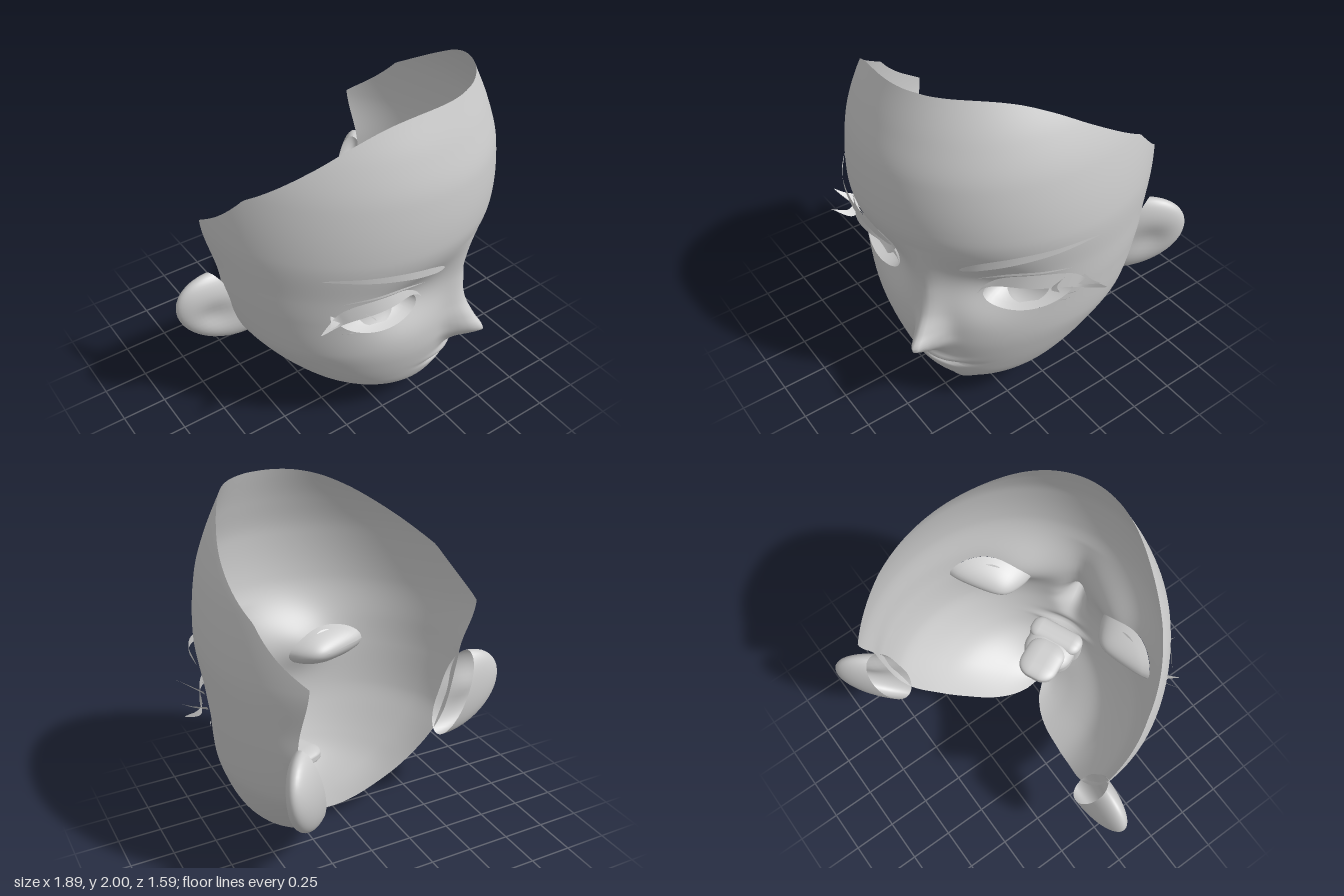
import * as THREE from 'three';
import { RoundedBoxGeometry } from 'three/addons/geometries/RoundedBoxGeometry.js';

const V = (x, y, z) => new THREE.Vector3(x, y, z);
const skin = new THREE.MeshStandardMaterial({ color: 0xcccccc, side: THREE.DoubleSide });
const bell = (x, s) => Math.exp(-(x / s) * (x / s));

// Smooth interpolation through rows of [key, value, value...]
function track(rows, k) {
  const n = rows.length - 1;
  let i = 0;
  while (i < n - 1 && k > rows[i + 1][0]) i++;
  const p = rows[i], q = rows[i + 1], d = q[0] - p[0];
  const s = Math.min(1, Math.max(0, (k - p[0]) / d));
  const slope = (m, c) => {
    const a = rows[Math.max(0, m - 1)], b = rows[Math.min(n, m + 1)];
    return (b[c] - a[c]) / (b[0] - a[0]);
  };
  return p.slice(1).map((v, c) => {
    const s2 = s * s, s3 = s2 * s;
    return (2 * s3 - 3 * s2 + 1) * v + (s3 - 2 * s2 + s) * d * slope(i, c + 1)
      + (3 * s2 - 2 * s3) * q[c + 1] + (s3 - s2) * d * slope(i + 1, c + 1);
  });
}

// Head cross-sections: height, front depth, half width, depth of widest point, rear edge x and z
const SECTIONS = [
  [0, 0.89, 0.015, 0.87, 0, 0.85],
  [0.03, 0.92, 0.09, 0.79, 0.05, 0.69],
  [0.10, 0.97, 0.22, 0.71, 0.16, 0.54],
  [0.23, 1.06, 0.42, 0.61, 0.33, 0.40],
  [0.35, 1.10, 0.53, 0.55, 0.45, 0.31],
  [0.52, 1.14, 0.64, 0.47, 0.56, 0.22],
  [0.65, 1.15, 0.70, 0.44, 0.64, 0.19],
  [0.90, 1.16, 0.75, 0.42, 0.70, 0.17],
  [1.05, 1.18, 0.767, 0.41, 0.71, 0.15],
  [1.30, 1.25, 0.782, 0.40, 0.72, 0.08],
  [1.60, 1.25, 0.745, 0.38, 0.70, 0.08],
  [1.80, 1.20, 0.68, 0.36, 0.64, 0.08],
  [2.00, 1.13, 0.565, 0.35, 0.53, 0.08],
];
// Nose: height, projection, half width
const NOSE = [[0.42, 0, 0.05], [0.49, 0.06, 0.06], [0.55, 0.135, 0.068], [0.6, 0.185, 0.065], [0.66, 0.125, 0.07],
  [0.75, 0.06, 0.07], [0.9, 0.03, 0.08], [1.05, 0.02, 0.09], [1.2, 0, 0.1]];
// Height of the upper rim from the middle of the forehead to the temple
const RIM = [[0, 2], [0.2, 1.99], [0.32, 1.955], [0.42, 1.885], [0.52, 1.78], [0.7, 1.58], [0.85, 1.44], [1, 1.33]];

// Point on the face: t runs from the middle (0) to the rear edge (1)
function face(t, y, side = 1, off = 0) {
  const [front, a, wc, ur, wr] = track(SECTIONS, y);
  let u, w;
  if (t < 0.7) {
    const th = t / 0.7 * Math.PI / 2;
    u = a * Math.sin(th);
    w = wc + (front - wc) * Math.cos(th);
  } else {
    const s = (t - 0.7) / 0.3;
    u = a - (a - ur) * s * s;
    w = wc + (wr - wc) * s;
  }
  if (y > 0.42 && y < 1.2) {
    const [h, s] = track(NOSE, y);
    w += h * bell(u, s);
  }
  w -= 0.09 * bell(u - 0.31, 0.19) * bell(y - 0.92, 0.16); // eye socket
  const m = y - 0.325 - 0.7 * u * u; // lips
  w += bell(u, 0.13) * (0.02 * bell(m - 0.04, 0.025) - 0.035 * bell(m, 0.013) + 0.006 * bell(m + 0.04, 0.025));
  const len = Math.hypot(u, w - 0.42) || 1;
  return V(side * (u + off * u / len), y, w + off * (w - 0.42) / len);
}

// Surface from a grid of points; keep() may leave quads out
function grid(rows, cols, point, keep = () => true) {
  const pos = [], idx = [], W = cols + 1;
  for (let i = 0; i <= rows; i++) for (let j = 0; j <= cols; j++) pos.push(...point(i, j).toArray());
  for (let i = 0; i < rows; i++) for (let j = 0; j < cols; j++) {
    if (!keep(i, j)) continue;
    const a = i * W + j;
    idx.push(a, a + 1, a + W + 1, a, a + W + 1, a + W);
  }
  const g = new THREE.BufferGeometry();
  g.setAttribute('position', new THREE.Float32BufferAttribute(pos, 3));
  g.setIndex(idx);
  g.computeVertexNormals();
  return g;
}

// Almond eye opening in face coordinates
const EYE = { t: 0.298, y: 0.9, ht: 0.148, hy: 0.108, tilt: 0.15 };
const eyeDist = (t, y) => Math.hypot((t - EYE.t) / EYE.ht, (y - EYE.y - EYE.tilt * (t - EYE.t)) / EYE.hy);
function lid(ang, scale, side, off) {
  const dt = EYE.ht * Math.cos(ang) * scale;
  return face(EYE.t + dt, EYE.y + EYE.hy * Math.sin(ang) * scale + EYE.tilt * dt, side, off);
}

// Open face shell, with grid points pushed to the edge of each eye opening
function faceShell() {
  const N = 72, LOW = 100, HIGH = 26;
  const raw = (i, j) => {
    const t = Math.abs(j - N) / N;
    const y = i <= LOW ? 1.33 * i / LOW : 1.33 + (track(RIM, t)[0] - 1.33) * (i - LOW) / HIGH;
    return [t, y];
  };
  const inside = (i, j) => eyeDist(...raw(i, j)) < 1;
  return grid(LOW + HIGH, 2 * N, (i, j) => {
    let [t, y] = raw(i, j);
    const f = eyeDist(t, y);
    if (f < 1 && f > 0.01) {
      t = EYE.t + (t - EYE.t) / f;
      y = EYE.y + (y - EYE.y) / f;
    }
    return face(t, y, j < N ? -1 : 1);
  }, (i, j) => !(inside(i, j) && inside(i, j + 1) && inside(i + 1, j) && inside(i + 1, j + 1)));
}

// Tapered strip along a curve
function ribbon(points, dir, width) {
  const curve = new THREE.CatmullRomCurve3(points), n = 28;
  return grid(n, 1, (i, j) => curve.getPoint(i / n).addScaledVector(dir, (j - 0.5) * width(i / n)));
}

// Ear: hollow half shell rooted on the slanted rear edge of the face, leaning back
function earGeometry(side) {
  const g = new THREE.SphereGeometry(1, 28, 24, Math.PI / 2, Math.PI), p = g.attributes.position;
  for (let i = 0; i < p.count; i++) {
    const x = p.getX(i), y = p.getY(i), z = p.getZ(i);
    const dish = z > 0 ? 1 - 0.5 * bell(Math.hypot(x - 0.5, y), 0.4) : 1;
    p.setXYZ(i, side * (0.645 + 0.085 * y + 0.255 * x), 0.76 + 0.25 * y, 0.145 - 0.03 * y - 0.11 * x + 0.1 * z * dish);
  }
  if (side < 0) g.index.array.reverse();
  g.computeVertexNormals();
  return g;
}

export function createModel() {
  const model = new THREE.Group(), head = new THREE.Group();
  head.name = 'head';
  model.add(head);
  const add = (name, geo) => {
    const m = new THREE.Mesh(geo, skin);
    m.name = name;
    head.add(m);
    return m;
  };

  add('faceShell', faceShell());

  for (const side of [1, -1]) {
    const tag = side > 0 ? 'left' : 'right';
    add(tag + 'Ear', earGeometry(side));

    // Recessed eye white and iris
    add(tag + 'EyeWhite', grid(12, 40, (i, j) => {
      const r = i / 12;
      return lid(j / 40 * Math.PI * 2, r * 1.03, side, -0.15 * Math.pow(1 - r * r, 0.8) - 0.003);
    }));
    add(tag + 'Iris', grid(8, 32, (i, j) => {
      const r = i / 8, a = j / 32 * Math.PI * 2;
      return face(0.298 + 0.078 * r * Math.cos(a), 0.9 + 0.105 * r * Math.sin(a), side, -0.075 + 0.03 * r * r);
    }));

    // Upper lash band sweeping out into a wing
    const band = [];
    for (let k = 0; k <= 8; k++) band.push(lid(Math.PI * (0.97 - 0.85 * k / 8), 1.1, side, 0.015 + 0.003 * k));
    band.push(V(side * 0.72, 0.96, 0.82), V(side * 0.81, 0.98, 0.82));
    add(tag + 'UpperLash', ribbon(band, V(0.15 * side, 0.95, -0.25).normalize(),
      s => 0.085 * Math.pow(Math.sin(Math.PI * Math.pow(s, 1.3)), 0.8)));

    // Separate lash spikes
    const spikeDir = V(0.6 * side, 0.6, -0.5).normalize();
    const spikes = [
      [lid(0.9, 1.1, side, 0.01), V(side * 0.6, 1.01, 0.97), V(side * 0.66, 1.06, 1.04)],
      [lid(0.35, 1.1, side, 0.01), V(side * 0.72, 0.99, 0.84), V(side * 0.79, 1.03, 0.86)],
    ];
    for (const pts of spikes) add(tag + 'LashSpike', ribbon(pts, spikeDir, s => 0.08 * (1 - s)));

    // Lid crease, lower lashes and brow
    const crease = [0.75, 0.6, 0.45, 0.3].map(a => lid(Math.PI * a, 1.55, side, 0.008));
    add(tag + 'LidCrease', ribbon(crease, V(0, 1, 0), s => 0.014 * Math.sin(Math.PI * s)));
    for (const a of [-0.5, -0.8])
      add(tag + 'LowerLash', ribbon([lid(a, 1.02, side, 0.005), lid(a + 0.05, 1.12, side, 0.01), lid(a + 0.15, 1.2, side, 0.012)],
        V(side * 0.7, 0.5, -0.5), s => 0.02 * (1 - s)));
    const brow = [[0.11, 1.10], [0.18, 1.16], [0.27, 1.21], [0.38, 1.24], [0.5, 1.25]]
      .map(([t, y], k) => face(t, y, side, 0.014 + 0.006 * k));
    add(tag + 'Brow', ribbon(brow, V(0, 1, 0), s => 0.045 * Math.pow(Math.sin(Math.PI * Math.pow(s, 0.7)), 0.7)));
  }

  // Mouth pocket, its raised rim and the tongue behind the lips
  const pad = (name, w, h, d, r, y, z) =>
    add(name, new RoundedBoxGeometry(w, w, d, 5, r).scale(1, h / w, 1)).position.set(0, y, z);
  pad('mouthPocket', 0.31, 0.16, 0.29, 0.11, 0.36, 0.91);
  pad('mouthRim', 0.34, 0.18, 0.14, 0.06, 0.36, 0.97);
  pad('tongue', 0.24, 0.09, 0.27, 0.09, 0.41, 0.79);

  // Head turned to its left with a slight tilt
  head.rotation.set(0, 0.427, 0.025);
  head.position.set(-0.11, 0, -0.425);
  return model;
}
